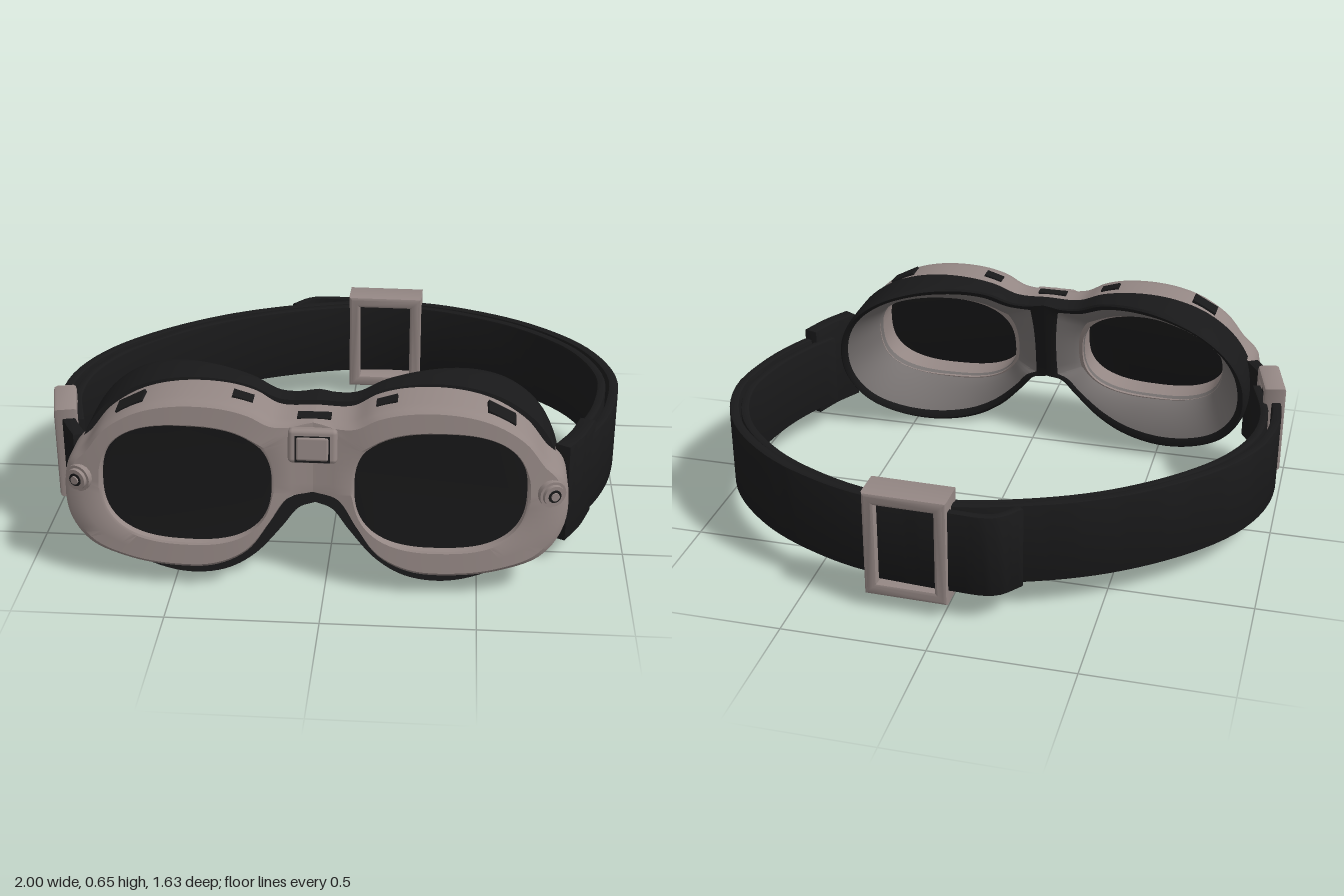
import * as THREE from 'three';
import { toCreasedNormals } from 'three/addons/utils/BufferGeometryUtils.js';
import { RoundedBoxGeometry } from 'three/addons/geometries/RoundedBoxGeometry.js';

const { lerp, smoothstep } = THREE.MathUtils;
const V2 = (x, y) => new THREE.Vector2(x, y);
const mat = (name, color, side = THREE.FrontSide) => {
  const m = new THREE.MeshStandardMaterial({ color, side });
  m.name = name;
  return m;
};

// Half outlines (centre top, round the lobe, to centre bottom)
const FRAME = [[0, .57], [.12, .57], [.2, .61], [.3, .633], [.45, .633], [.58, .6], [.69, .53], [.755, .45], [.815, .39],
  [.82, .23], [.75, .135], [.62, .09], [.48, .072], [.32, .08], [.21, .135], [.14, .23], [.08, .31], [0, .338]];
const FOAM = [[0, .585], [.12, .585], [.22, .625], [.36, .645], [.5, .635], [.63, .59], [.74, .5], [.8, .38],
  [.8, .24], [.73, .12], [.6, .04], [.44, 0], [.3, .015], [.2, .07], [.11, .165], [.055, .23], [0, .25]];

// One lobe: smoothed half outline closed along the centre line
function lobe(half) {
  const pts = half.map(([x, y]) => new THREE.Vector3(x, y, 0));
  const loop = new THREE.CatmullRomCurve3(pts, false, 'centripetal').getPoints(96).map(p => V2(Math.max(0, p.x), p.y));
  const top = loop[0].y, bottom = loop.at(-1).y;
  for (let i = 1; i < 8; i++) loop.push(V2(0, lerp(bottom, top, i / 8)));
  return loop;
}

// Rounded eye opening, as a point at a given angle
const EYE = V2(.413, .357);
function eyePoint(angle, a, b) {
  const n = 2.6, c = Math.cos(angle), s = Math.sin(angle);
  const r = (Math.abs(c / a) ** n + Math.abs(s / b) ** n) ** (-1 / n);
  return V2(EYE.x + r * c, EYE.y + r * s);
}

// Depth rules: the mask leans back at the top and wraps round the face
const frontZ = (x, y) => .775 - .16 * (y - .36) - .05 * (x / .8) ** 4 - .03 * Math.exp(-((x / .13) ** 2));
const backZ = (x, y) => .60 - .25 * (y - .36) - .05 * (x / .8) ** 4;
const padFrontZ = (x, y) => backZ(x, y) + .03;
const padZ = (x, y) => .54 - .16 * smoothstep(x, .1, .78) - .23 * (y - .36);

// Ring round one eye. Profile entries are [k, d]: k runs from eye opening to outline,
// d from back to front. Edges flatten out at the centre line so both lobes join.
function ringGeometry(side, half, a, b, profile, zBack, zFront) {
  const loop = lobe(half), n = loop.length, m = profile.length, pos = [], index = [];
  for (const o of loop) {
    const inner = eyePoint(Math.atan2(o.y - EYE.y, o.x - EYE.x), a, b), w = smoothstep(o.x, 0, .05);
    for (const [k, d] of profile) {
      const edge = k > .8 ? w : 1;
      const p = inner.clone().lerp(o, 1 - (1 - k) * edge);
      const depth = d < .5 ? d * edge : 1 - (1 - d) * edge;
      pos.push(side * p.x, p.y, lerp(zBack(p.x, p.y), zFront(p.x, p.y), depth));
    }
  }
  for (let i = 0; i < n; i++) for (let j = 0; j < m - 1; j++) {
    const p = i * m + j, q = ((i + 1) % n) * m + j;
    if (side > 0) index.push(p, q, p + 1, q, q + 1, p + 1);
    else index.push(p, p + 1, q, q, p + 1, q + 1);
  }
  const g = new THREE.BufferGeometry();
  g.setAttribute('position', new THREE.Float32BufferAttribute(pos, 3));
  g.setIndex(index);
  return toCreasedNormals(g, .6);
}
const FRAME_PROFILE = [[0, 0], [0, .84], [.03, .97], [.09, 1], [.5, 1], [.82, 1], [.95, .92], [1, .76], [1, 0], [0, 0]];
const PAD_PROFILE = [[.5, 1], [1, 1], [1, .45], [.985, .2], [.95, .06], [.88, 0], [.78, .02], [.7, .07]];
const LINING_PROFILE = [[.7, .07], [.5, .22], [.25, .5], [.06, .75], [0, 1]];

// Vertical band that follows a path in plan; offset is measured sideways
function bandGeometry(points, y0, y1, thick, offset = () => 0, n = 72) {
  const curve = new THREE.CatmullRomCurve3(points.map(([x, z]) => new THREE.Vector3(x, z, 0)), false, 'centripetal');
  const edge = d => Array.from({ length: n + 1 }, (_, i) => {
    const t = i / n, p = curve.getPointAt(t), q = curve.getTangentAt(t), o = d + offset(t);
    return V2(p.x - q.y * o, p.y + q.x * o);
  });
  const bev = .006, h = thick / 2;
  const shape = new THREE.Shape([...edge(h), ...edge(-h).reverse()]);
  const g = new THREE.ExtrudeGeometry(shape, { depth: y1 - y0 - 2 * bev, bevelThickness: bev, bevelSize: bev,
    bevelOffset: -bev, bevelSegments: 2 });
  g.rotateX(Math.PI / 2).translate(0, y1 - bev, 0);
  return toCreasedNormals(g, .7);
}

// Rectangular slider ring
function buckleGeometry(w, h, d, bar) {
  const rect = (W, H) => [V2(-W / 2, -H / 2), V2(W / 2, -H / 2), V2(W / 2, H / 2), V2(-W / 2, H / 2)];
  const shape = new THREE.Shape(rect(w, h));
  shape.holes.push(new THREE.Path(rect(w - 2 * bar, h - 2 * bar)));
  const b = .012;
  const g = new THREE.ExtrudeGeometry(shape, { depth: d - 2 * b, bevelThickness: b, bevelSize: b, bevelOffset: -b, bevelSegments: 2 });
  return toCreasedNormals(g.translate(0, 0, b - d / 2), .5);
}

export function createModel() {
  const taupe = mat('taupe plastic', 0x948784);
  const black = mat('black fabric', 0x19191a);
  const dark = mat('dark lens', 0x171718, THREE.DoubleSide);
  const grey = mat('grey padding', 0x75706f);
  const root = new THREE.Group();
  root.name = 'goggles';
  const mask = new THREE.Group();
  mask.name = 'mask';
  mask.position.x = -.04;
  root.add(mask);
  const add = (parent, name, geo, m, pos = [0, 0, 0], rot = [0, 0, 0]) => {
    const mesh = new THREE.Mesh(geo, m);
    mesh.name = name;
    mesh.position.set(...pos);
    mesh.rotation.set(...rot);
    parent.add(mesh);
  };

  for (const s of [1, -1]) {
    // Rigid frame, face pad and its soft lining
    add(mask, 'frame', ringGeometry(s, FRAME, .278, .194, FRAME_PROFILE, backZ, frontZ), taupe);
    add(mask, 'facePad', ringGeometry(s, FOAM, .275, .19, PAD_PROFILE, padZ, padFrontZ), black);
    add(mask, 'padLining', ringGeometry(s, FOAM, .275, .19, LINING_PROFILE, padZ, padFrontZ), grey);

    // Lens set just behind the rim
    const rim = Array.from({ length: 64 }, (_, i) => eyePoint((i / 64) * Math.PI * 2, .282, .198));
    const lens = new THREE.ShapeGeometry(new THREE.Shape(rim));
    const p = lens.attributes.position;
    for (let i = 0; i < p.count; i++) {
      const x = p.getX(i), y = p.getY(i);
      p.setXYZ(i, s * x, y, frontZ(x, y) - .024);
    }
    lens.computeVertexNormals();
    add(mask, 'lens', lens, dark);

    // Vents along the top
    add(mask, 'outerVent', new THREE.BoxGeometry(.1, .02, .075), black, [s * .6, .586, .64], [.05, 0, -s * .48]);
    add(mask, 'innerVent', new THREE.BoxGeometry(.07, .02, .05), black, [s * .235, .616, .64], [.03, 0, s * .3]);

    // Side pivot: washer, knob and slotted cap
    const pivot = new THREE.Group();
    pivot.name = 'sidePivot';
    pivot.position.set(s * .765, .352, .716);
    pivot.rotation.y = s * .4;
    mask.add(pivot);
    const tiers = [[.046, .05, taupe, 0], [.036, .03, taupe, .022], [.022, .006, black, .036], [.014, .016, taupe, .036]];
    for (const [r, h, m, z] of tiers)
      add(pivot, 'pivotTier', new THREE.CylinderGeometry(r, r * 1.06, h, 20), m, [0, 0, z], [Math.PI / 2, 0, 0]);
  }

  // Bridge block with a raised panel and a top vent
  add(mask, 'bridgeBlock', new RoundedBoxGeometry(.16, .115, .1, 2, .015), taupe, [0, .495, .705], [-.16, 0, 0]);
  add(mask, 'bridgeRecess', new THREE.BoxGeometry(.114, .088, .004), black, [0, .495, .755], [-.16, 0, 0]);
  add(mask, 'bridgePanel', new RoundedBoxGeometry(.105, .079, .03, 2, .008), taupe, [0, .495, .747], [-.16, 0, 0]);
  add(mask, 'bridgeVent', new THREE.BoxGeometry(.11, .008, .045), black, [0, .569, .66], [.05, 0, 0]);

  // Head strap: outer loop and an inner layer that bows away at the sides
  const loop = [[.84, .43], [.91, .29], [.96, .13], [.98, -.1], [.89, -.35], [.7, -.55], [.49, -.67], [.27, -.74], [.03, -.745],
    [-.235, -.68], [-.5, -.56], [-.74, -.375], [-.89, -.19], [-.965, 0], [-.975, .19], [-.925, .4], [-.86, .51]];
  add(root, 'strap', bandGeometry(loop, .105, .4, .034), black);
  add(root, 'strapInnerLayer', bandGeometry(loop.slice(0, 16), .115, .395, .03,
    t => -.026 - .02 * Math.cos(Math.PI * t) ** 2), black);
  // Folded ends at the mask
  add(root, 'strapFold', bandGeometry([[.77, .56], [.825, .46], [.865, .35]], .085, .44, .055, undefined, 12), black);
  add(root, 'strapFold', bandGeometry([[-.925, .4], [-.88, .49], [-.845, .55]], .1, .42, .045, undefined, 12), black);
  // Loose strap tip threaded through the rear slider
  add(root, 'strapTip', bandGeometry([[-.24, -.7], [-.17, -.775], [-.02, -.782], [.25, -.765]], .1, .4, .03, undefined, 24), black);

  // Sliders
  add(root, 'rearBuckle', buckleGeometry(.29, .39, .125, .045), taupe, [.125, .245, -.748], [0, -.02, 0]);
  add(root, 'sideBuckle', buckleGeometry(.2, .335, .08, .036), taupe, [-.938, .287, .345], [0, -1.34, 0]);
  return root;
}
